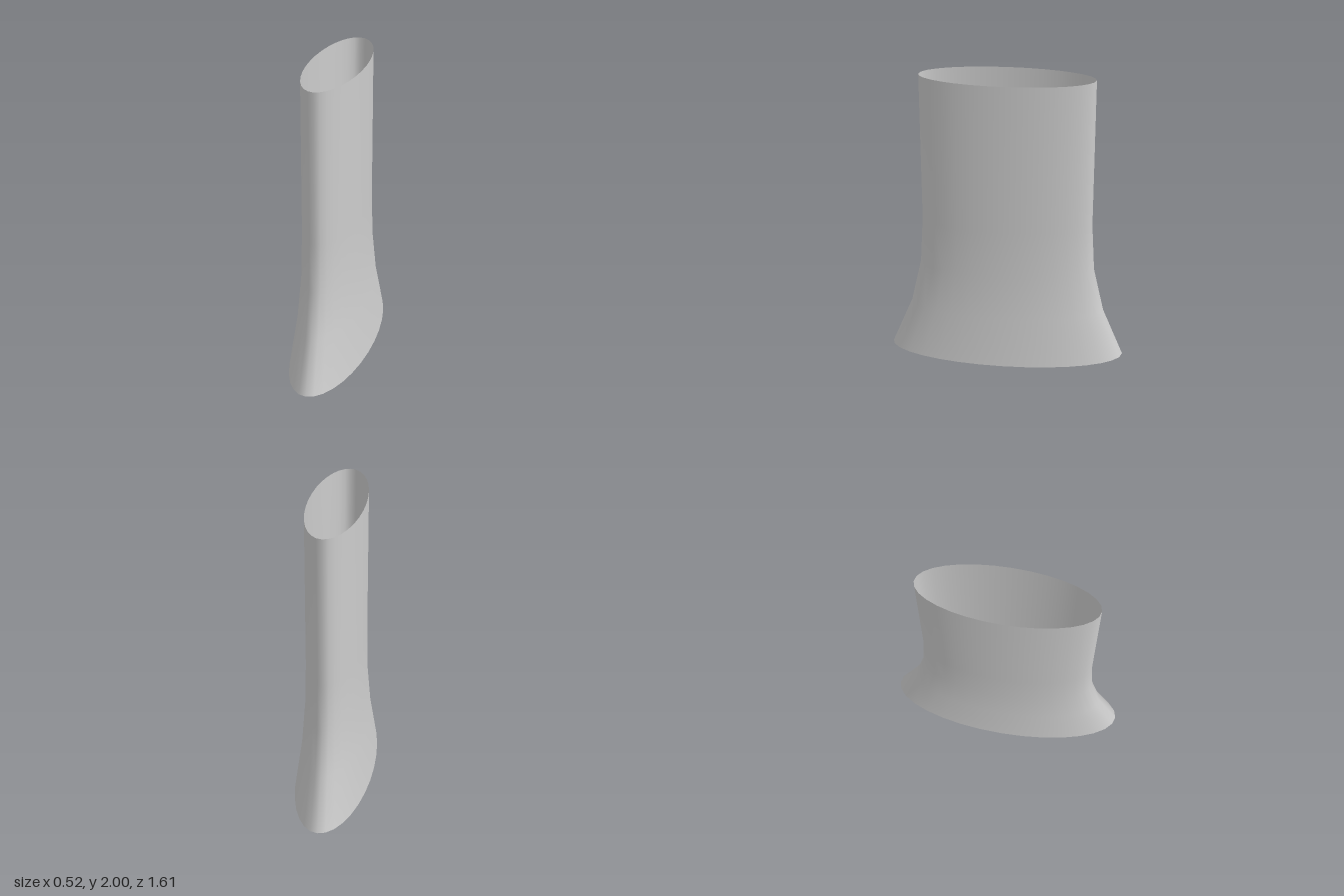
import * as THREE from 'three';

export function createModel() {
  const group = new THREE.Group();
  group.name = 'flaredTube';

  // Side profile along the long axis: straight neck, flared foot
  const profile = [
    [0.805, 0], [0.663, 0.34], [0.592, 0.65], [0.572, 0.98], [0.572, 2],
  ].map(([r, y]) => new THREE.Vector2(r, y));

  // Open-ended elliptical shell: a lathe squeezed across x
  const geometry = new THREE.LatheGeometry(profile, 32);
  geometry.scale(0.326, 1, 1);

  const shell = new THREE.Mesh(
    geometry,
    new THREE.MeshStandardMaterial({ color: 0xcccccc, side: THREE.DoubleSide }),
  );
  shell.name = 'shell';
  group.add(shell);
  return group;
}
